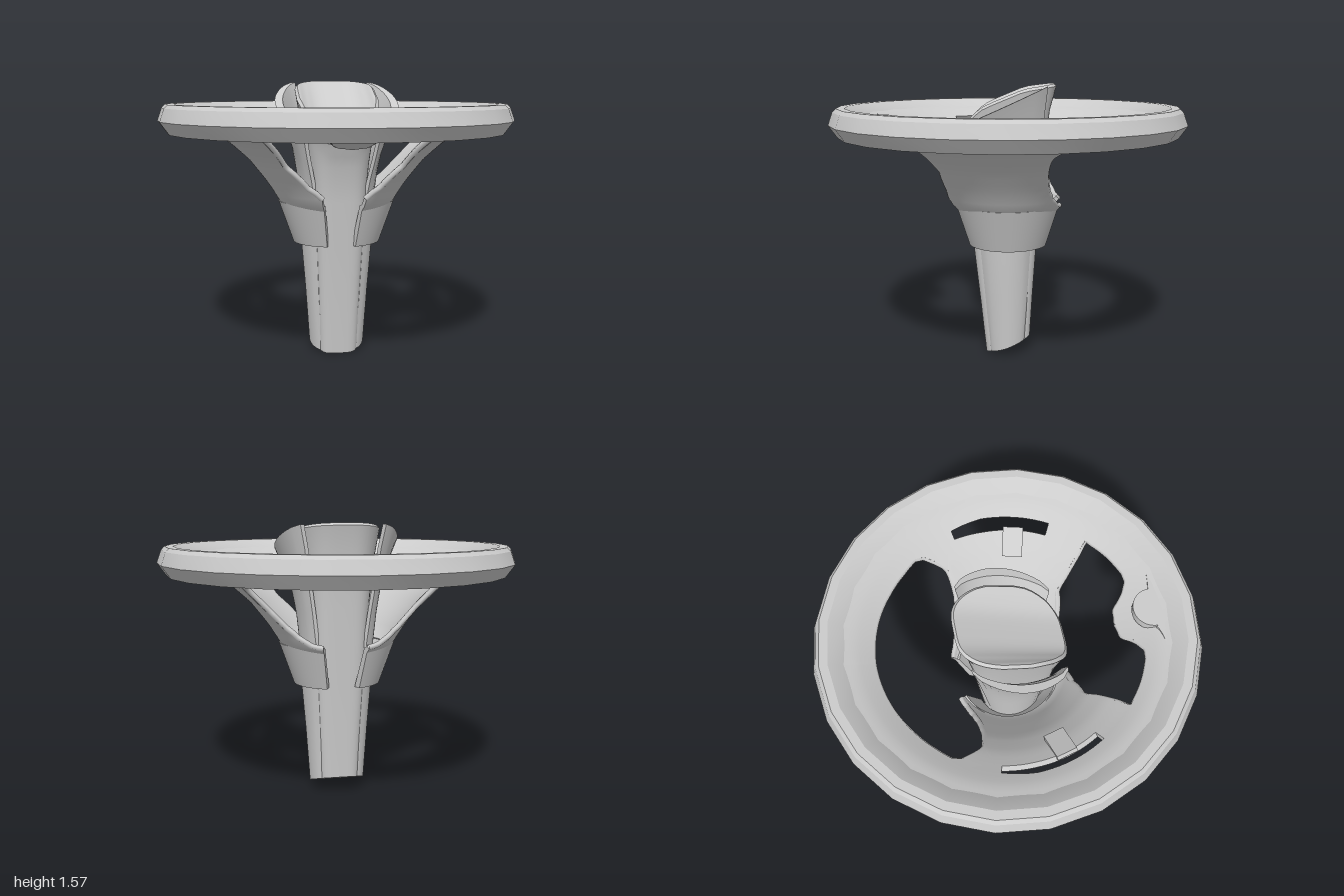
import * as THREE from 'three';
import { toCreasedNormals } from 'three/addons/utils/BufferGeometryUtils.js';

const material = new THREE.MeshStandardMaterial({ color: 0xcccccc, side: THREE.DoubleSide });
const rad = THREE.MathUtils.degToRad, clamp = THREE.MathUtils.clamp;

// piecewise-linear lookup in [key, value] rows
function lookup(rows, x) {
  let i = 0;
  while (i < rows.length - 2 && x > rows[i + 1][0]) i++;
  const [a, b] = [rows[i], rows[i + 1]];
  return a[1] + (b[1] - a[1]) * clamp((x - a[0]) / (b[0] - a[0]), 0, 1);
}

// closed solid skinned over equal-length loops; the end loops are capped
function skin(slices) {
  const n = slices[0].length, m = slices.length, index = [];
  const quad = (a, b, c, d) => index.push(a, b, c, a, c, d);
  for (let j = 0; j < m - 1; j++)
    for (let i = 0; i < n; i++) {
      const k = (i + 1) % n;
      quad(j * n + i, j * n + k, (j + 1) * n + k, (j + 1) * n + i);
    }
  for (let i = 0; i < n / 2 - 1; i++) {
    const c = [i, n - 1 - i, n - 2 - i, i + 1], o = (m - 1) * n;
    quad(...c);
    quad(o + c[3], o + c[2], o + c[1], o + c[0]);
  }
  const p = slices.flat();
  let volume = 0;
  for (let i = 0; i < index.length; i += 3) {
    const [a, b, c] = [p[index[i]], p[index[i + 1]], p[index[i + 2]]];
    volume += a.dot(b.clone().cross(c));
  }
  if (volume < 0) index.reverse();
  const g = new THREE.BufferGeometry().setFromPoints(p);
  g.setIndex(index);
  return toCreasedNormals(g.toNonIndexed(), 0.6);
}

const polar = (r, y, deg) => new THREE.Vector3(r * Math.sin(rad(deg)), y, r * Math.cos(rad(deg)));

// underside height and thickness of the flared dish by radius
const flare = [[0.29, 0.85], [0.33, 0.89], [0.37, 0.96], [0.42, 1.03], [0.5, 1.13], [0.6, 1.22],
  [0.66, 1.258], [0.71, 1.288], [0.75, 1.315], [0.8, 1.345], [0.86, 1.375]];
const thickness = [[0.4, 0.018], [0.7, 0.032], [0.8, 0.03], [0.86, 0.02]];
// opening edges by angle from the front: [degrees, inner edge, outer edge]
const openings = [[0, 0.33, 0.605], [7, 0.33, 0.62], [12, 0.33, 0.69], [16, 0.34, 0.73], [20, 0.35, 0.74],
  [31, 0.39, 0.74], [42, 0.48, 0.735], [42, 0.56, 0.735], [42, 0.65, 0.735], [42, 0.735, 0.735],
  [60, 0.735, 0.735], [60, 0.68, 0.735], [90, 0.68, 0.74], [104, 0.685, 0.725], [104, 0.72, 0.72],
  [114, 0.58, 0.58], [117, 0.47, 0.63], [121, 0.425, 0.685], [125, 0.395, 0.705], [133, 0.36, 0.7],
  [145, 0.335, 0.7], [157, 0.325, 0.705], [180, 0.32, 0.71]];

// rows of the openings table, refined to about three degrees, clipped to a range
function openingRows(from, to) {
  const rows = [];
  openings.forEach((a, i) => {
    const b = openings[i + 1] ?? a;
    const steps = Math.max(1, Math.ceil((b[0] - a[0]) / 3));
    for (let s = 0; s < steps; s++) rows.push(a.map((v, c) => v + ((b[c] - v) * s) / steps));
  });
  return rows.filter((r) => r[0] >= from && r[0] <= to);
}

// radial slice of the dish on shared radii, trimmed to r0..r1
function dishSlice(r0, r1, deg) {
  const outer = [], inner = [];
  for (let i = 0; i <= 20; i++) {
    const r = clamp(0.3 + 0.028 * i, r0, r1), y = lookup(flare, r);
    outer.push(polar(r, y, deg));
    inner.unshift(polar(r - 0.02, y + lookup(thickness, r), deg));
  }
  return outer.concat(inner);
}

// rounded lip along the edge of an opening
function lip(edge) {
  const points = edge.map(([d, r]) => polar(r - 0.01, lookup(flare, r) + lookup(thickness, r) / 2, d));
  const path = points.filter((p, i) => !i || p.distanceTo(points[i - 1]) > 0.005);
  return new THREE.TubeGeometry(new THREE.CatmullRomCurve3(path), 90, 0.017, 6);
}

// height of the sloping hub top by z
const capSlope = [[-0.27, 1.57], [-0.1, 1.545], [0, 1.51], [0.15, 1.44], [0.24, 1.35], [0.31, 1.24]];
// hub levels: [y, half width, front depth, back depth]
const hubLevels = [[0, 0.115, 0.13, 0.13], [0.3, 0.128, 0.16, 0.145], [0.65, 0.145, 0.2, 0.165],
  [0.9, 0.155, 0.235, 0.185], [1.1, 0.175, 0.26, 0.2], [1.25, 0.195, 0.285, 0.215],
  [1.4, 0.215, 0.3, 0.235], [1.52, 0.235, 0.31, 0.27], [1.54, 0.22, 0.297, 0.257]];

function hubSlices() {
  const n = 48, pow = (v) => Math.sign(v) * Math.abs(v) ** 0.5;
  return hubLevels.map(([y, w, f, b], j) => {
    const loop = [];
    for (let i = 0; i < n; i++) {
      const a = ((i + 0.5) / n) * Math.PI * 2, s = pow(Math.sin(a));
      const z = s > 0 ? s * f : s * b;
      // slanted foot, and a bevelled top that follows the slope
      const foot = 0.1 * (0.13 - z) / 0.26;
      const top = lookup(capSlope, z) - (j === hubLevels.length - 1 ? 0 : 0.015);
      const yy = y < 1.1 ? y + foot * Math.max(0, 1 - y / 0.65) : 1.1 + (top - 1.1) * Math.min(1, (y - 1.1) / 0.42);
      const taper = 1 - 0.28 * s * s * clamp((y - 0.9) / 0.5, 0, 1);
      loop.push(new THREE.Vector3(w * taper * pow(Math.cos(a)), yy, z));
    }
    return loop;
  });
}

// side panel levels, flaring into a fin: [y, edge x, middle x, front z, back z]
const finLevels = [[0, 0.1, 0.16, 0.1, 0.1], [0.35, 0.118, 0.182, 0.128, 0.115], [0.65, 0.13, 0.205, 0.155, 0.13],
  [0.9, 0.145, 0.215, 0.18, 0.155], [1.05, 0.165, 0.23, 0.2, 0.17], [1.2, 0.19, 0.255, 0.225, 0.185],
  [1.35, 0.21, 0.305, 0.25, 0.205], [1.46, 0.235, 0.35, 0.27, 0.22]];

function finSlices() {
  return finLevels.map(([y, e, m, f, b]) => {
    const outer = [], inner = [];
    for (let i = 0; i <= 14; i++) {
      const t = i / 14, z = f - (f + b) * t, bulge = Math.sin(Math.PI * t) ** 0.65;
      const slope = -0.45 * z * clamp((y - 0.9) / 0.55, 0, 1);
      const foot = 0.1 * (0.13 - z) / 0.26 * Math.max(0, 1 - y / 0.65);
      const x = e + (m - e) * bulge, thick = 0.02 + 0.025 * bulge;
      outer.push(new THREE.Vector3(x, y + slope + foot, z));
      inner.unshift(new THREE.Vector3(x - thick, y + slope + foot, z));
    }
    return outer.concat(inner);
  });
}

function collarSlices() {
  const slices = [];
  for (let i = 0; i <= 32; i++) {
    const d = 20 + (137 * i) / 32, k = 1 - 0.08 * Math.cos(rad(d)) ** 2;
    slices.push([[0.25, 0.65], [0.335, 0.89], [0.3, 0.89], [0.2, 0.65]].map(([r, y]) => polar(r * k, y, d)));
  }
  return slices;
}

export function createModel() {
  const model = new THREE.Group();
  const add = (name, geometry, parent = model) => {
    const mesh = new THREE.Mesh(geometry, material);
    mesh.name = name;
    parent.add(mesh);
    return mesh;
  };

  // faceted outer rim, sloping down to the dish on its inside
  const profile = [[0.79, 1.342], [0.82, 1.3], [0.86, 1.28], [0.95, 1.28], [1, 1.35], [0.975, 1.42], [0.955, 1.44],
    [0.91, 1.44], [0.84, 1.396], [0.79, 1.342]].map(([r, y]) => new THREE.Vector2(r, y));
  add('rim', toCreasedNormals(new THREE.LatheGeometry(profile, 24).toNonIndexed(), 0.4));

  // central hub and stem with its sloping top
  add('hub', skin(hubSlices()));

  // one half, then its mirror image
  const inner = (from, to) => openingRows(from, to).map(([d, a]) => [d, a]);
  const outer = (from, to) => openingRows(from, to).map(([d, , b]) => [d, b]);
  const parts = {
    spoke: skin(inner(20, 157).map(([d, r]) => dishSlice(0.3, r, d))),
    dishRing: skin(outer(0, 180).map(([d, r]) => dishSlice(r, 0.86, d))),
    frontOpeningLip: lip([...inner(20, 42), ...outer(0, 42).reverse()]),
    backOpeningLip: lip([...inner(114, 157).reverse(), ...outer(114, 180)]),
    collar: skin(collarSlices()),
    sideFin: skin(finSlices()),
  };
  for (const side of [1, -1]) {
    const half = new THREE.Group();
    half.name = side > 0 ? 'leftHalf' : 'rightHalf';
    half.scale.x = side;
    model.add(half);
    for (const [name, geometry] of Object.entries(parts)) add(name, geometry, half);
    // small tab on the spoke
    const tab = add('tab', new THREE.BoxGeometry(0.16, 0.028, 0.11), half);
    tab.position.set(0.585, 1.27, 0.15);
    tab.rotation.set(0, -0.25, 0.5);
  }

  // raised badge plate at the front of the dish
  const plate = new THREE.Shape();
  plate.moveTo(-0.25, -0.79);
  plate.quadraticCurveTo(-0.14, -0.78, -0.11, -0.76);
  plate.absarc(0, -0.77, 0.105, Math.PI, 0, true);
  plate.quadraticCurveTo(0.14, -0.78, 0.25, -0.79);
  plate.quadraticCurveTo(0, -0.88, -0.25, -0.79);
  const badge = add('badgePlate', new THREE.ExtrudeGeometry(plate, { depth: 0.05, bevelEnabled: false, curveSegments: 10 }));
  badge.rotation.x = -Math.PI / 2;
  badge.position.y = 1.335;
  return model;
}
